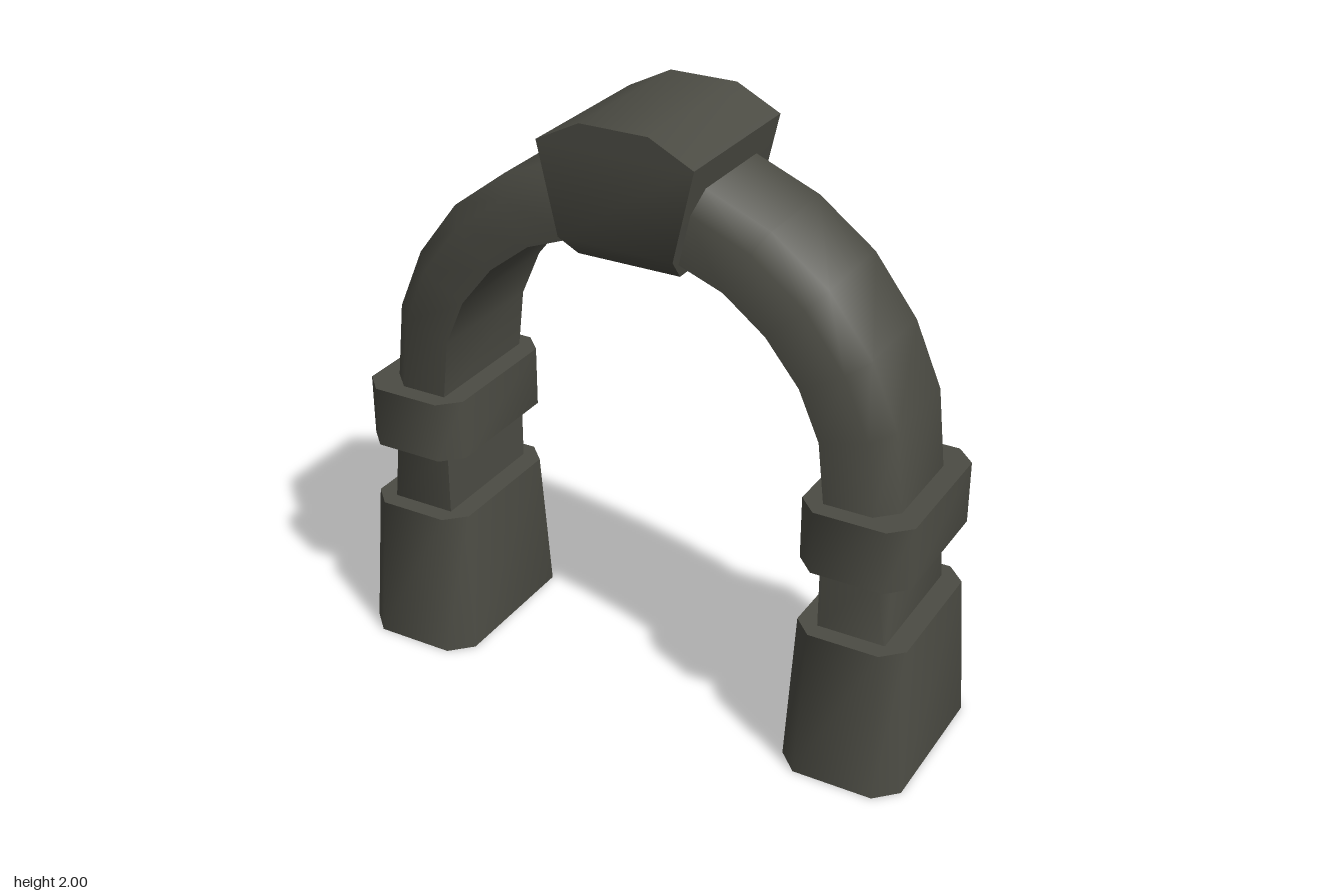
import * as THREE from 'three';
import { toCreasedNormals } from 'three/addons/utils/BufferGeometryUtils.js';

const stone = new THREE.MeshStandardMaterial({ color: 0x4c4c44 });
stone.name = 'dark stone';

// Skins a closed solid over rings of points that run counter-clockwise about the path
function loft(name, rings) {
  const n = rings[0].length;
  const index = [];
  for (let i = 0; i < rings.length - 1; i++) {
    for (let j = 0; j < n; j++) {
      const a = i * n + j, b = i * n + (j + 1) % n;
      index.push(a, b, b + n, a, b + n, a + n);
    }
  }
  const last = (rings.length - 1) * n;
  for (let j = 1; j < n - 1; j++) {
    index.push(0, j + 1, j, last, last + j, last + j + 1);
  }
  const geometry = new THREE.BufferGeometry();
  geometry.setAttribute('position', new THREE.Float32BufferAttribute(rings.flat(2), 3));
  geometry.setIndex(index);
  const mesh = new THREE.Mesh(toCreasedNormals(geometry, 0.9), stone);
  mesh.name = name;
  return mesh;
}

// Level rectangle with cut corners
function octagon(x0, x1, y, hz, c) {
  return [
    [x1, y, hz - c], [x1, y, c - hz], [x1 - c, y, -hz], [x0 + c, y, -hz],
    [x0, y, c - hz], [x0, y, hz - c], [x0 + c, y, hz], [x1 - c, y, hz],
  ];
}

// Arch section from outer to inner point, bevelled on its outer edges only
function archSection([ox, oy, ix, iy], c) {
  const hz = 0.225;
  const k = c / Math.hypot(ix - ox, iy - oy);
  const bx = ox + (ix - ox) * k, by = oy + (iy - oy) * k;
  return [
    [ox, oy, hz - c], [ox, oy, c - hz], [bx, by, -hz],
    [ix, iy, -hz], [ix, iy, hz], [bx, by, hz],
  ];
}

function makeHalf() {
  const half = new THREE.Group();

  // Tapered foot
  half.add(loft('plinth', [
    octagon(0.59, 1.0, 0, 0.32, 0.07),
    octagon(0.61, 0.975, 0.505, 0.285, 0.065),
  ]));

  // Short pillar whose bevel widens upwards
  half.add(loft('shaft', [
    archSection([0.905, 0.5, 0.68, 0.5], 0.003),
    archSection([0.905, 0.74, 0.68, 0.74], 0.037),
  ]));

  // Collar where the arch springs
  half.add(loft('collar', [
    octagon(0.61, 0.975, 0.73, 0.285, 0.065),
    octagon(0.61, 0.975, 0.94, 0.285, 0.065),
  ]));

  // Curved half of the arch: outer x, y and inner x, y
  const sections = [
    [0.908, 0.92, 0.683, 0.92],
    [0.877, 1.2, 0.658, 1.14],
    [0.787, 1.41, 0.588, 1.3],
    [0.643, 1.6, 0.475, 1.44],
    [0.455, 1.742, 0.335, 1.548],
    [0.225, 1.838, 0.16, 1.615],
  ];
  half.add(loft('archHalf', sections.map((s) => archSection(s, 0.065))));
  return half;
}

export function createModel() {
  const model = new THREE.Group();
  model.name = 'stoneArch';

  const left = makeHalf();
  left.name = 'leftHalf';
  const right = makeHalf();
  right.name = 'rightHalf';
  right.rotation.y = Math.PI;

  // Wedge block at the crown: half width, height, half depth
  const keystone = loft('keystone', [
    [0.175, 1.55, 0.19],
    [0.195, 1.63, 0.272],
    [0.263, 1.925, 0.272],
    [0.115, 2.0, 0.272],
  ].map(([x, y, z]) => [[x, y, z], [x, y, -z], [-x, y, -z], [-x, y, z]]));

  model.add(left, right, keystone);
  return model;
}
